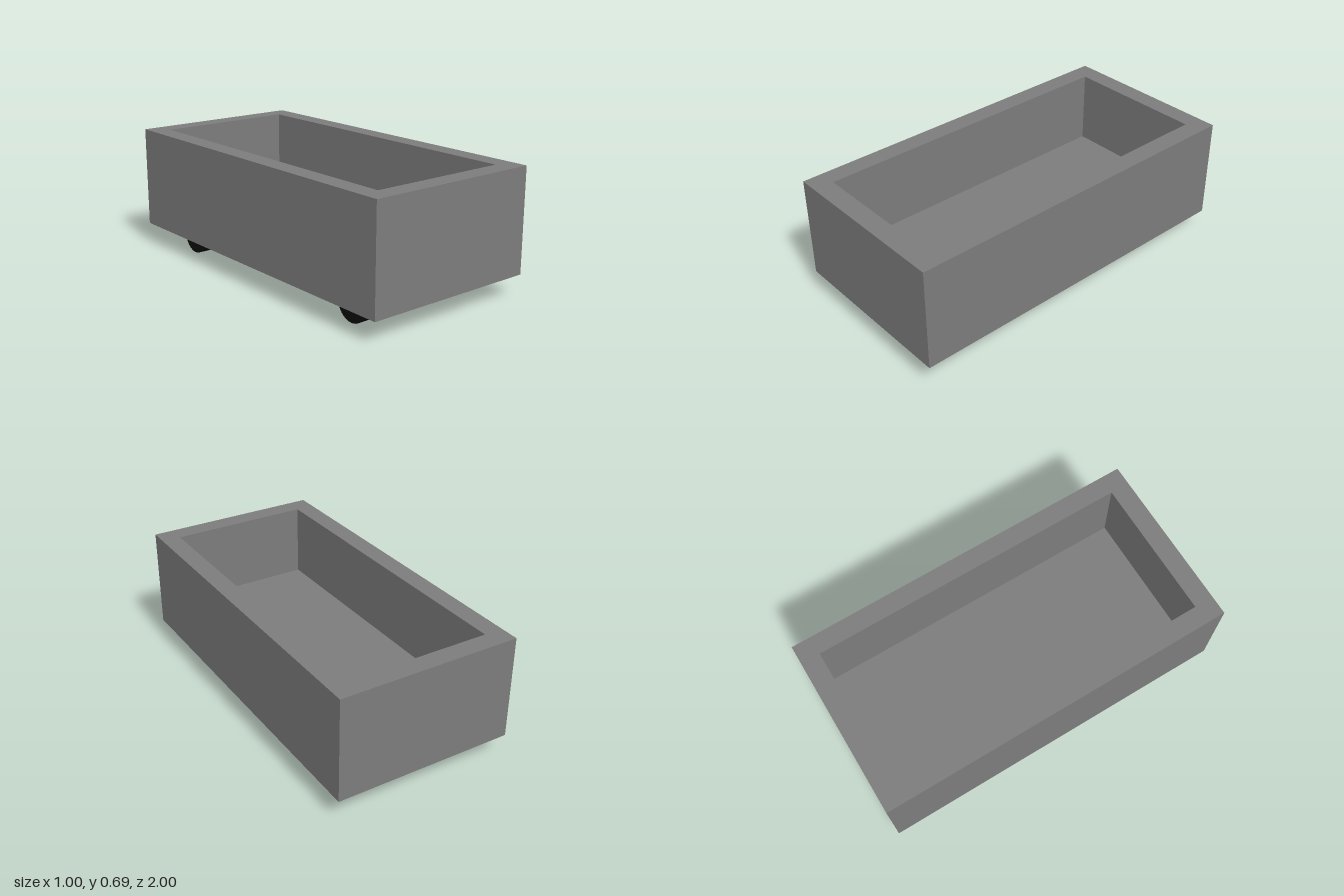
import * as THREE from 'three';

export function createModel() {
  const group = new THREE.Group();
  const grey = new THREE.MeshStandardMaterial({ color: 0x7c7c7c });
  grey.name = 'bodyGrey';
  const black = new THREE.MeshStandardMaterial({ color: 0x0d0d0d });
  black.name = 'rollerBlack';

  const bottomY = 0.117, floorY = 0.274, topY = 0.687;

  // Solid slab under the tray
  const base = new THREE.Mesh(new THREE.BoxGeometry(1, floorY - bottomY, 2), grey);
  base.name = 'base';
  base.position.y = (bottomY + floorY) / 2;
  group.add(base);

  // Thick walls around the open tray
  const rectangle = (path, x, y0, y1) =>
    path.moveTo(-x, y0).lineTo(x, y0).lineTo(x, y1).lineTo(-x, y1).closePath();
  const outline = rectangle(new THREE.Shape(), 0.5, -1, 1);
  outline.holes.push(rectangle(new THREE.Path(), 0.394, -0.891, 0.894));
  const wallGeometry = new THREE.ExtrudeGeometry(outline, { depth: topY - floorY, bevelEnabled: false });
  wallGeometry.rotateX(-Math.PI / 2);
  const walls = new THREE.Mesh(wallGeometry, grey);
  walls.name = 'walls';
  walls.position.y = floorY;
  group.add(walls);

  // Two wide rollers sunk into the base
  const rollerGeometry = new THREE.CylinderGeometry(0.1, 0.1, 0.797, 32);
  rollerGeometry.rotateZ(Math.PI / 2);
  for (const [name, z] of [['frontRoller', 0.726], ['backRoller', -0.656]]) {
    const roller = new THREE.Mesh(rollerGeometry, black);
    roller.name = name;
    roller.position.set(-0.001, 0.1, z);
    group.add(roller);
  }
  return group;
}
